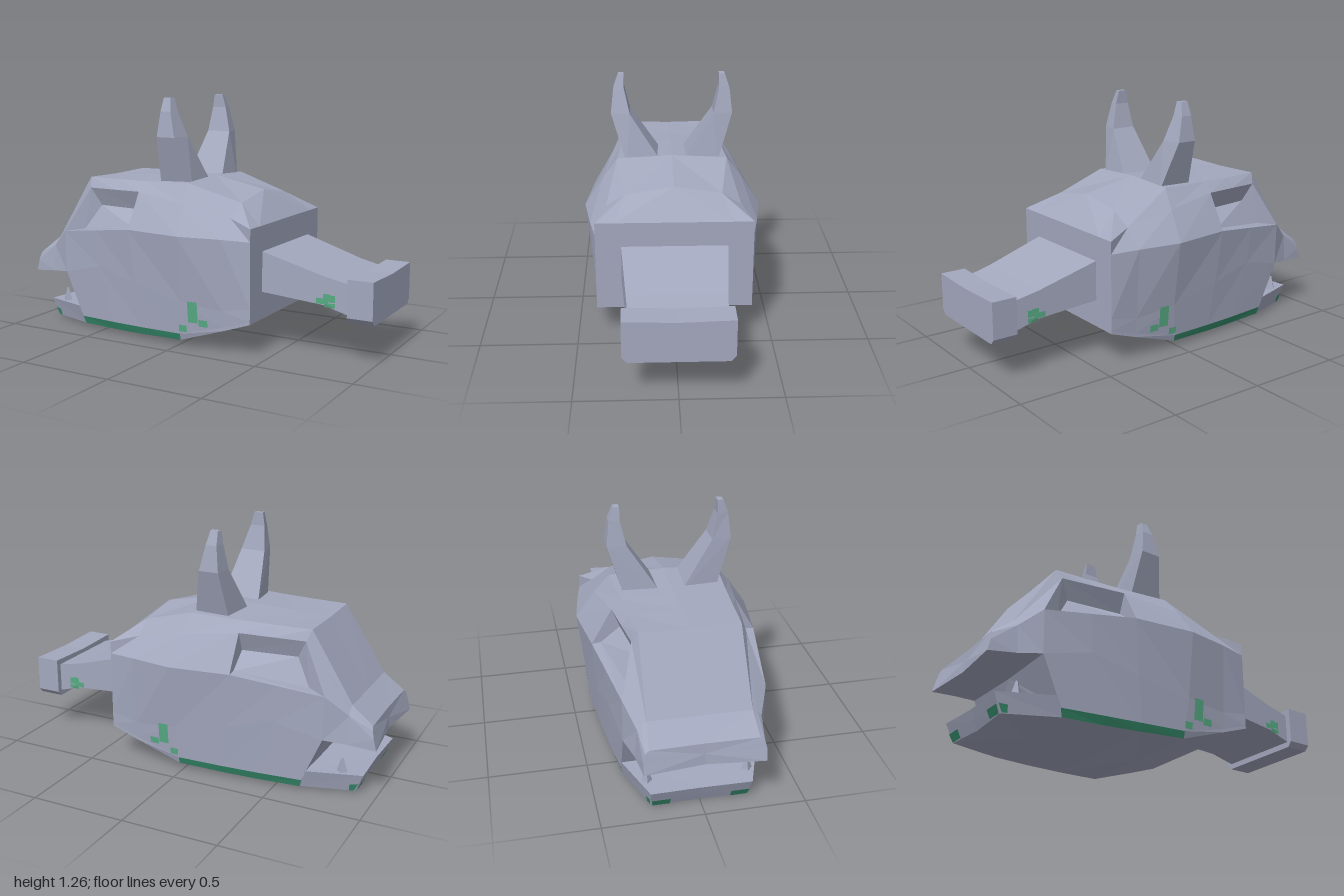
import * as THREE from 'three';

const hull = new THREE.MeshStandardMaterial({ color: 0xa3a8be });
hull.name = 'greyBlueHull';
const moss = new THREE.MeshStandardMaterial({ color: 0x57ab84 });
moss.name = 'mossGreen';
const darkMoss = new THREE.MeshStandardMaterial({ color: 0x358a6a });
darkMoss.name = 'darkMossGreen';
for (const m of [hull, moss, darkMoss]) m.flatShading = true;

// Mesh from flat polygons on the +z side, mirrored to -z
function facets(name, material, polys) {
  const pos = [];
  for (const p of polys) {
    for (let k = 1; k < p.length - 1; k++) {
      pos.push(...p[0], ...p[k], ...p[k + 1]);
      for (const [x, y, z] of [p[0], p[k + 1], p[k]]) pos.push(x, y, -z);
    }
  }
  const geometry = new THREE.BufferGeometry();
  geometry.setAttribute('position', new THREE.Float32BufferAttribute(pos, 3));
  geometry.computeVertexNormals();
  const mesh = new THREE.Mesh(geometry, material);
  mesh.name = name;
  return mesh;
}

// Quads between half-rings (front to back, each from top centre to bottom centre)
function loft(rings, keep = () => true) {
  const polys = [];
  for (let i = 0; i < rings.length - 1; i++) {
    for (let j = 0; j < rings[i].length - 1; j++) {
      if (keep(i, j)) polys.push([rings[i][j], rings[i][j + 1], rings[i + 1][j + 1], rings[i + 1][j]]);
    }
  }
  return polys;
}

// Fan closing one half-ring
function cap(ring, centre, front) {
  return ring.slice(1).map((p, j) => (front ? [centre, p, ring[j]] : [centre, ring[j], p]));
}

export function createModel() {
  const model = new THREE.Group();
  model.name = 'hornedBeastCraft';
  const add = (...args) => {
    const mesh = facets(...args);
    model.add(mesh);
    return mesh;
  };

  // Body: centre, shoulder, eye top, eye bottom, flank, strip top, strip bottom, centre
  const body = [
    [[-0.64, 0.815, 0], [-0.64, 0.82, 0.25], [-0.62, 0.765, 0.28], [-0.75, 0.525, 0.35],
      [-0.745, 0.3, 0.35], [-0.64, 0.06, 0.345], [-0.63, 0.02, 0.335], [-0.63, 0.015, 0]],
    [[-0.45, 0.822, 0], [-0.45, 0.82, 0.26], [-0.45, 0.7675, 0.3], [-0.515, 0.555, 0.3875],
      [-0.5, 0.36, 0.38], [-0.42, 0.062, 0.37], [-0.42, 0.02, 0.355], [-0.42, 0.015, 0]],
    [[-0.28, 0.832, 0], [-0.28, 0.822, 0.27], [-0.28, 0.77, 0.32], [-0.28, 0.585, 0.425],
      [-0.25, 0.3, 0.405], [-0.22, 0.065, 0.388], [-0.22, 0.025, 0.375], [-0.22, 0.02, 0]],
    [[0, 0.845, 0], [0, 0.83, 0.29], [0.02, 0.735, 0.365], [0.04, 0.585, 0.465],
      [0.04, 0.24, 0.42], [0.02, 0.07, 0.405], [0.02, 0.035, 0.395], [0.02, 0.035, 0]],
    [[0.29, 0.785, 0], [0.29, 0.745, 0.245], [0.28, 0.68, 0.345], [0.27, 0.585, 0.43],
      [0.27, 0.22, 0.405], [0.27, 0.135, 0.4], [0.27, 0.118, 0.4], [0.27, 0.118, 0]],
    [[0.42, 0.645, 0], [0.42, 0.645, 0.3], [0.42, 0.645, 0.4], [0.42, 0.58, 0.4],
      [0.42, 0.25, 0.4], [0.42, 0.185, 0.4], [0.42, 0.17, 0.4], [0.42, 0.17, 0]],
  ];
  const isEye = (i, j) => j === 2 && i < 2;
  const isStrip = (i, j) => j === 5 && i < 3;
  const bodyMesh = add('body', hull, [
    ...loft(body, (i, j) => !isEye(i, j) && !isStrip(i, j)),
    ...cap(body[0], [-0.735, 0.3, 0], true),
    ...cap(body[5], [0.42, 0.4, 0], false),
  ]);
  add('lowerMossStrip', darkMoss, loft(body, isStrip));

  // Sunken eye sockets
  const [U1, L1, U2, L2] = [body[0][2], body[0][3], body[2][2], body[2][3]];
  const u1 = [-0.57, 0.67, 0.25], l1 = [-0.65, 0.54, 0.3];
  const u2 = [-0.28, 0.67, 0.28], l2 = [-0.28, 0.59, 0.38];
  add('eyeSockets', hull, [
    [U1, u1, u2, U2], [U1, L1, l1, u1], [u1, l1, l2, u2], [L1, L2, l2, l1], [U2, u2, l2, L2],
  ]);

  // Sloping snout and upper jaw
  const snout = [
    [[-0.965, 0.385, 0], [-0.97, 0.385, 0.265], [-0.975, 0.37, 0.285], [-0.985, 0.33, 0.295],
      [-1, 0.27, 0.295], [-0.975, 0.275, 0]],
    [[-0.86, 0.47, 0], [-0.86, 0.47, 0.255], [-0.855, 0.455, 0.28], [-0.86, 0.43, 0.3],
      [-0.86, 0.285, 0.315], [-0.86, 0.285, 0]],
    [...body[0].slice(0, 5), [-0.735, 0.3, 0]],
  ];
  add('snout', hull, [...loft(snout), ...cap(snout[0], [-0.97, 0.33, 0], true)]);

  // Lower jaw
  const jaw = [
    [[-0.92, 0.1, 0], [-0.93, 0.105, 0.25], [-0.89, 0.01, 0.24], [-0.88, 0.003, 0]],
    [[-0.64, 0.115, 0], [-0.66, 0.115, 0.348], [-0.62, 0.02, 0.335], [-0.62, 0.015, 0]],
  ];
  const jawMesh = add('lowerJaw', hull, [...loft(jaw), ...cap(jaw[0], [-0.9, 0.05, 0], true)]);

  // Fangs on the lower jaw
  for (const side of [-1, 1]) {
    const fang = new THREE.Mesh(new THREE.CylinderGeometry(0.006, 0.03, 0.08, 4), hull);
    fang.name = 'fang';
    fang.position.set(-0.82, 0.14, side * 0.25);
    model.add(fang);
  }

  // Curved horns: y, x range of the wide inner side, x range of the outer side, z range
  const hornLoops = [
    [0.8, -0.215, 0.005, -0.19, 0, 0.05, 0.24],
    [1.06, -0.175, -0.04, -0.165, -0.06, 0.22, 0.32],
    [1.19, -0.16, -0.08, -0.15, -0.09, 0.25, 0.305],
    [1.26, -0.15, -0.1, -0.145, -0.105, 0.25, 0.28],
  ].map(([y, a, b, c, d, zi, zo]) => [[a, y, zi], [c, y, zo], [d, y, zo], [b, y, zi]]);
  const hornFaces = [hornLoops[3]];
  for (let i = 0; i < 3; i++) {
    for (let j = 0; j < 4; j++) {
      const k = (j + 1) % 4;
      hornFaces.push([hornLoops[i][j], hornLoops[i][k], hornLoops[i + 1][k], hornLoops[i + 1][j]]);
    }
  }
  add('horns', hull, hornFaces);

  // Tapering tail and end block
  const tail = [[0.42, 0.515, 0.31, 0.27], [0.74, 0.42, 0.278, 0.245], [0.88, 0.39, 0.235, 0.235]]
    .map(([x, top, low, z]) => [[x, top, 0], [x, top, z], [x, low, z], [x, low, 0]]);
  const tailMesh = add('tail', hull, loft(tail));
  const block = [0.87, 1].map((x) =>
    [[x, 0.415, 0], [x, 0.423, 0.265], [x, 0.235, 0.265], [x, 0.208, 0.24], [x, 0.208, 0]]);
  add('tailBlock', hull, [
    ...loft(block), ...cap(block[0], [0.87, 0.32, 0], true), ...cap(block[1], [1, 0.32, 0], false),
  ]);

  // Moss patches laid onto the sides of a part
  const ray = new THREE.Raycaster();
  const onSide = (target, x, y) => {
    ray.set(new THREE.Vector3(x, y, 2), new THREE.Vector3(0, 0, -1));
    const hit = ray.intersectObject(target)[0];
    return [x, y, (hit ? hit.point.z : 0.24) + 0.004];
  };
  const rects = (target, list) => list.map(([x0, x1, y0, y1]) =>
    [[x0, y1], [x0, y0], [x1, y0], [x1, y1]].map(([x, y]) => onSide(target, x, y)));
  add('bodyMossPatches', moss, rects(bodyMesh, [
    [0.02, 0.065, 0.085, 0.12], [0.075, 0.13, 0.14, 0.25], [0.135, 0.185, 0.125, 0.16],
  ]));
  add('tailMossPatches', moss, rects(tailMesh, [
    [0.705, 0.765, 0.284, 0.312], [0.745, 0.8, 0.268, 0.29], [0.74, 0.775, 0.312, 0.335],
    [0.765, 0.8, 0.295, 0.33],
  ]));
  add('chinMossPatches', darkMoss, [
    [[-0.905, 0.055], [-0.885, 0.014], [-0.86, 0.014], [-0.865, 0.05]]
      .map(([x, y]) => onSide(jawMesh, x, y)),
    [[-0.913, 0.05, 0.15], [-0.894, 0.01, 0.15], [-0.894, 0.01, 0.235], [-0.913, 0.05, 0.243]],
  ]);

  return model;
}
